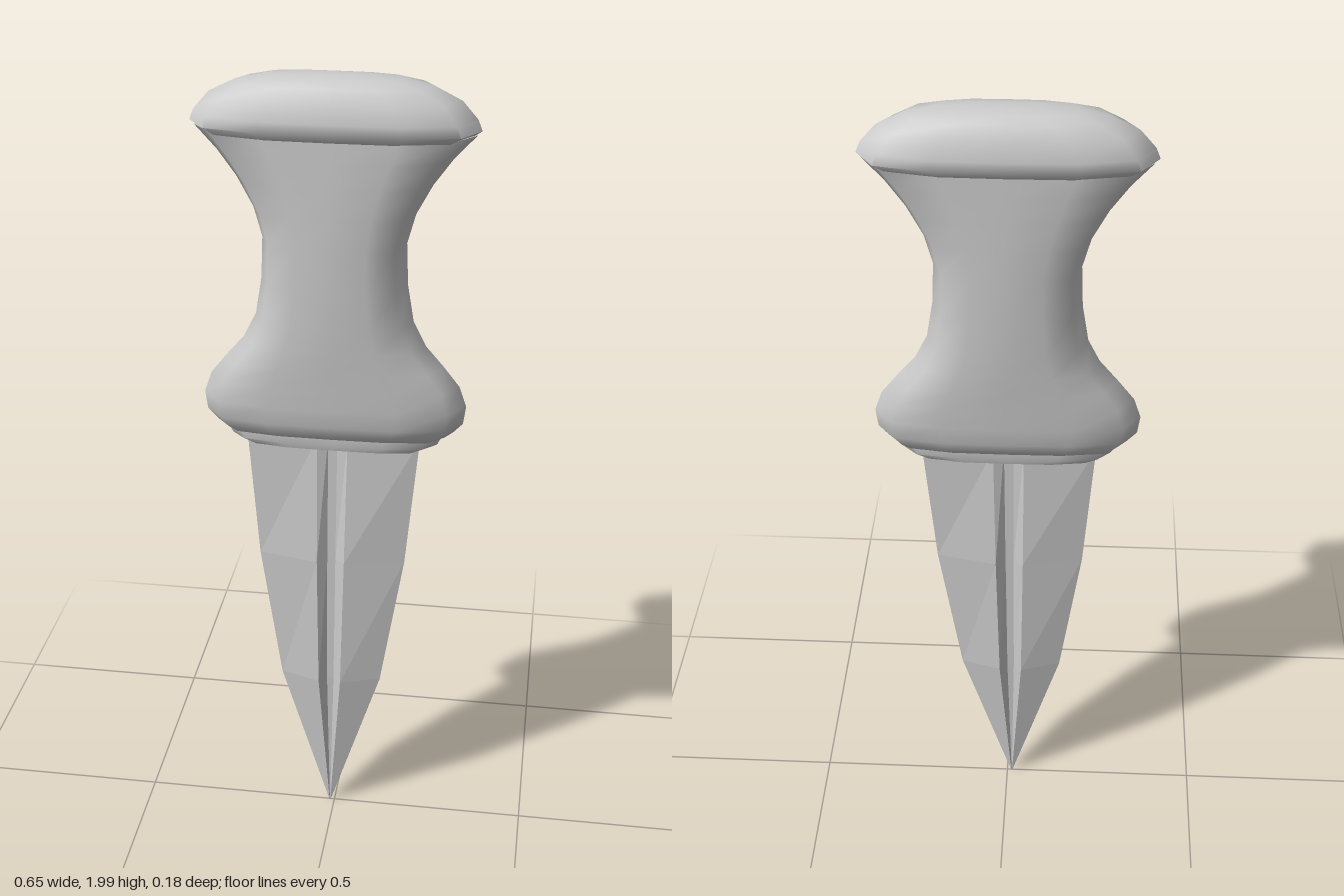
import * as THREE from 'three';
import { toCreasedNormals } from 'three/addons/utils/BufferGeometryUtils.js';

// Skin a stack of rings (arrays of [x, y, z], lowest first) and close both ends.
function loft(rings, crease) {
  const n = rings[0].length, pos = rings.flat(2), index = [];
  for (let i = 0; i < rings.length - 1; i++) {
    for (let j = 0; j < n; j++) {
      const k = (j + 1) % n;
      const a = i * n + j, b = i * n + k, c = a + n, d = b + n;
      index.push(a, c, b, b, c, d);
    }
  }
  const cap = (ring, start, up) => {
    const centre = pos.length / 3;
    for (let axis = 0; axis < 3; axis++) pos.push(ring.reduce((s, p) => s + p[axis], 0) / n);
    for (let j = 0; j < n; j++) {
      const a = start + j, b = start + (j + 1) % n;
      index.push(centre, up ? b : a, up ? a : b);
    }
  };
  cap(rings[0], 0, false);
  cap(rings[rings.length - 1], (rings.length - 1) * n, true);
  const geometry = new THREE.BufferGeometry();
  geometry.setAttribute('position', new THREE.Float32BufferAttribute(pos, 3));
  geometry.setIndex(index);
  return toCreasedNormals(geometry, crease);
}

// Twelve-sided flattened oval used for the whole handle.
const quarter = [[1, 0], [0.87, 0.7], [0.49, 0.97]];
const oval = [
  ...quarter, [0, 1],
  ...quarter.slice(1).reverse().map(([x, z]) => [-x, z]),
  [-1, 0],
  ...quarter.slice(1).map(([x, z]) => [-x, -z]),
  [0, -1],
  ...quarter.slice(1).reverse().map(([x, z]) => [x, -z]),
];
const ovalRing = ([y, halfX, halfZ]) => oval.map(([x, z]) => [x * halfX, y, z * halfZ]);

// Blade section: sharp edges with a sunken groove between two ridges on each face.
function bladeRing([y, halfX, halfZ, ridge, centre]) {
  const face = [[halfX, 0], [ridge, halfZ], [ridge * 0.3, halfZ * 0.4],
    [-ridge * 0.3, halfZ * 0.4], [-ridge, halfZ]];
  return [...face, ...face.map(([x, z]) => [-x, -z])].map(([x, z]) => [x + centre, y, z]);
}

export function createModel() {
  const group = new THREE.Group();
  const add = (name, geometry, flatShading = false) => {
    const material = new THREE.MeshStandardMaterial({ color: 0xcccccc, flatShading });
    const mesh = new THREE.Mesh(geometry, material);
    mesh.name = name;
    group.add(mesh);
  };

  // Domed pommel with a sharp rim: [y, half width, half depth]
  add('pommel', loft([
    [1.865, 0.295, 0.072], [1.885, 0.325, 0.09], [1.91, 0.315, 0.09], [1.95, 0.28, 0.075],
    [1.98, 0.22, 0.06], [1.994, 0.155, 0.042], [2.0, 0.07, 0.018],
  ].map(ovalRing), 1.0));

  // Waisted grip swelling into the guard
  add('grip', loft([
    [1.135, 0.265, 0.05], [1.15, 0.285, 0.062], [1.175, 0.308, 0.07], [1.22, 0.314, 0.073],
    [1.27, 0.297, 0.075], [1.32, 0.258, 0.078], [1.37, 0.215, 0.081], [1.43, 0.185, 0.083],
    [1.52, 0.17, 0.084], [1.62, 0.166, 0.083], [1.69, 0.185, 0.081], [1.76, 0.222, 0.078],
    [1.82, 0.265, 0.075], [1.875, 0.315, 0.072],
  ].map(ovalRing), 1.3));

  // Stepped collar under the guard
  add('collar', loft([
    [1.102, 0.215, 0.042], [1.115, 0.248, 0.045], [1.135, 0.258, 0.045], [1.16, 0.265, 0.045],
  ].map(ovalRing), 0.9));

  // Grooved double-edged blade: [y, half width, half depth, ridge offset, centre]
  add('blade', loft([
    [0.01, 0.002, 0.001, 0.001, -0.012], [0.42, 0.128, 0.031, 0.028, -0.009],
    [0.78, 0.182, 0.031, 0.034, -0.006], [1.12, 0.21, 0.014, 0.037, -0.003],
  ].map(bladeRing), 0.2), true);

  return group;
}
